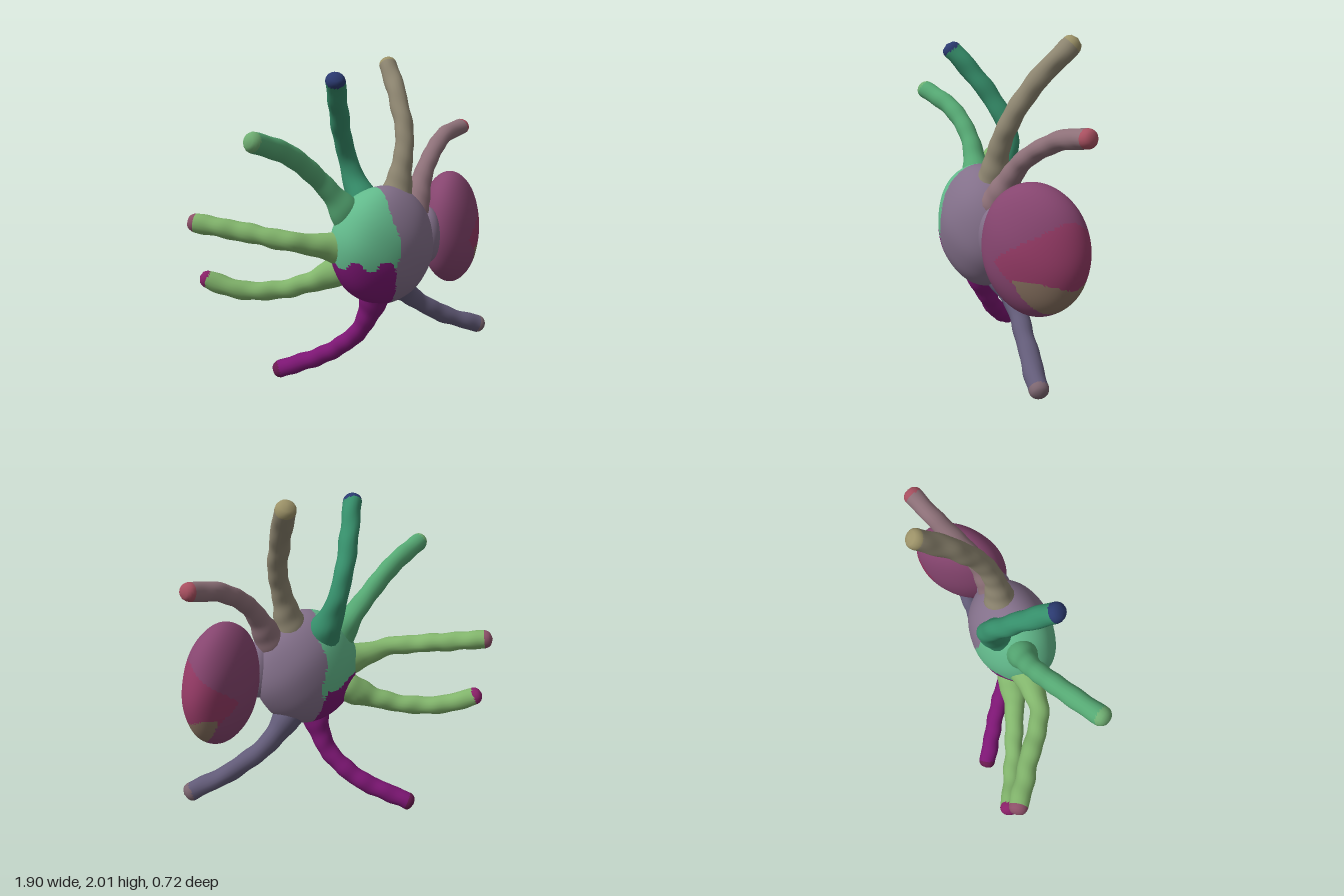
import * as THREE from 'three';
import { mergeVertices } from 'three/addons/utils/BufferGeometryUtils.js';

const GREEN = 0x62b98b, MAUVE = 0x83708a, MAGENTA = 0x7c1673, LIME = 0x82b56c;

// Hand-modelled clay unevenness
const lump = (x, y, z) =>
  Math.sin(17 * x + 5 * y) * Math.sin(19 * y + 3 * z) * 0.6 + Math.sin(23 * z + 11 * x) * 0.4;

function weld(geo) {
  geo.deleteAttribute('uv');
  geo.deleteAttribute('normal');
  const g = mergeVertices(geo, 1e-5);
  g.computeVertexNormals();
  return g;
}

// One mesh per colour patch: rule(x, y, z) picks the colour at each triangle centre
function paint(name, geo, rule) {
  const group = new THREE.Group();
  group.name = name;
  const p = geo.attributes.position, idx = geo.index.array, patches = new Map();
  for (let i = 0; i < idx.length; i += 3) {
    const tri = [idx[i], idx[i + 1], idx[i + 2]];
    const mid = (get) => tri.reduce((s, v) => s + get.call(p, v), 0) / 3;
    const color = rule(mid(p.getX), mid(p.getY), mid(p.getZ));
    if (!patches.has(color)) patches.set(color, []);
    patches.get(color).push(...tri);
  }
  for (const [color, tris] of patches) {
    const mesh = new THREE.Mesh(geo.clone().setIndex(tris), new THREE.MeshStandardMaterial({ color }));
    mesh.name = `${name}Patch`;
    group.add(mesh);
  }
  return group;
}

// Slightly lumpy ellipsoid, turned and placed
function blob(center, radii, turnY = 0, leanZ = 0) {
  const g = new THREE.SphereGeometry(1, 96, 64);
  g.scale(...radii).rotateY(turnY).rotateZ(leanZ);
  const p = g.attributes.position, v = new THREE.Vector3();
  for (let i = 0; i < p.count; i++) {
    v.fromBufferAttribute(p, i);
    v.multiplyScalar(1 + 0.012 * lump(v.x, v.y, v.z));
    p.setXYZ(i, v.x, v.y, v.z);
  }
  g.translate(...center);
  return weld(g);
}

// Limb along a curve: flared root, knobbly shaft, rounded and tinted tip
function limb(name, color, tipColor, r, ...points) {
  const path = points.map((q) => new THREE.Vector3(...q));
  const curve = new THREE.CatmullRomCurve3(path);
  const segs = 80, sides = 18, length = curve.getLength();
  const g = new THREE.TubeGeometry(curve, segs, 1, sides);
  const p = g.attributes.position, v = new THREE.Vector3(), q = new THREE.Vector3();
  for (let i = 0; i <= segs; i++) {
    const t = i / segs, c = curve.getPointAt(t);
    const toTip = Math.min(1, ((1 - t) * length) / (r * 0.9));
    const cap = Math.sqrt(1 - (1 - toTip) ** 2);
    const flare = 1 + 0.8 * Math.exp(-(((t * length) / 0.17) ** 2));
    for (let j = 0; j <= sides; j++) {
      const k = i * (sides + 1) + j;
      v.fromBufferAttribute(p, k).sub(c);
      q.copy(c).addScaledVector(v, 0.05).multiplyScalar(2);
      v.multiplyScalar(r * flare * cap * (1 + 0.1 * lump(q.x, q.y, q.z))).add(c);
      p.setXYZ(k, v.x, v.y, v.z);
    }
  }
  const tip = path[path.length - 1];
  return paint(name, weld(g), (x, y, z) => (v.set(x, y, z).distanceTo(tip) < 0.075 ? tipColor : color));
}

export function createModel() {
  const model = new THREE.Group();
  model.name = 'clayCreature';

  // Round body in three colour patches
  model.add(paint('body', blob([0.13, 0.91, 0.11], [0.335, 0.36, 0.25], 0.12), (x, y, z) => {
    const wave = 0.03 * Math.sin(30 * x + 20 * z);
    if (y < 0.85 + wave && x < 0.1 - (y - 0.75) * 0.2) return MAGENTA;
    return x < 0.1 + 0.02 * Math.sin(18 * y + 9 * z) ? GREEN : MAUVE;
  }));

  // Flattened oval head, turned sideways
  model.add(paint('head', blob([0.685, 0.94, -0.01], [0.303, 0.36, 0.184], Math.PI / 4, 0.08), (x, y, z) => {
    const wave = 0.02 * Math.sin(20 * z + 15 * x);
    if (x + y * 0.3 > 1.02 && y < 0.81 + wave) return 0x86705f;
    return x - Math.abs(y - 0.9) > 0.66 + wave ? 0x943a65 : 0x86456f;
  }));

  // Broad join between body and head
  model.add(paint('neck', blob([0.43, 0.94, 0.11], [0.09, 0.18, 0.11]), () => MAUVE));

  // Arms on the right side
  model.add(limb('upperInnerRightArm', 0x368f6b, 0x2b3a70, 0.056,
    [0.06, 1.13, 0], [0.0, 1.4, -0.09], [-0.11, 1.67, 0.02], [-0.225, 1.92, 0.22]));
  model.add(limb('upperOuterRightArm', 0x55a873, 0x6fae72, 0.056,
    [-0.06, 1.07, 0.08], [-0.25, 1.32, 0.07], [-0.46, 1.49, 0.13], [-0.745, 1.605, 0.27]));
  model.add(limb('middleRightArm', LIME, 0x8c5068, 0.057,
    [-0.1, 0.91, 0.09], [-0.42, 0.98, 0.06], [-0.67, 1.03, -0.11], [-0.94, 1.08, -0.3]));
  model.add(limb('lowerRightArm', LIME, 0x8a2068, 0.056,
    [-0.08, 0.78, 0.04], [-0.36, 0.665, -0.07], [-0.65, 0.645, -0.2], [-0.88, 0.73, -0.32]));

  // Legs
  model.add(limb('rightLeg', MAGENTA, 0x6a1a50, 0.056,
    [0.08, 0.66, 0.13], [0.03, 0.38, 0.04], [-0.14, 0.18, -0.11], [-0.44, 0.033, -0.305]));
  model.add(limb('leftLeg', 0x625b78, 0x7c6670, 0.056,
    [0.22, 0.68, 0.06], [0.43, 0.49, 0], [0.65, 0.35, 0.01], [0.945, 0.235, 0.045]));

  // Arms on the left side
  model.add(limb('upperInnerLeftArm', 0x8d8570, 0x9c9268, 0.057,
    [0.22, 1.15, 0.09], [0.31, 1.48, 0.04], [0.35, 1.73, -0.1], [0.385, 1.99, -0.345]));
  model.add(limb('upperOuterLeftArm', 0x8d7078, 0xa85060, 0.053,
    [0.34, 1.1, 0.09], [0.5, 1.37, 0], [0.69, 1.51, -0.12], [0.915, 1.565, -0.215]));

  return model;
}
